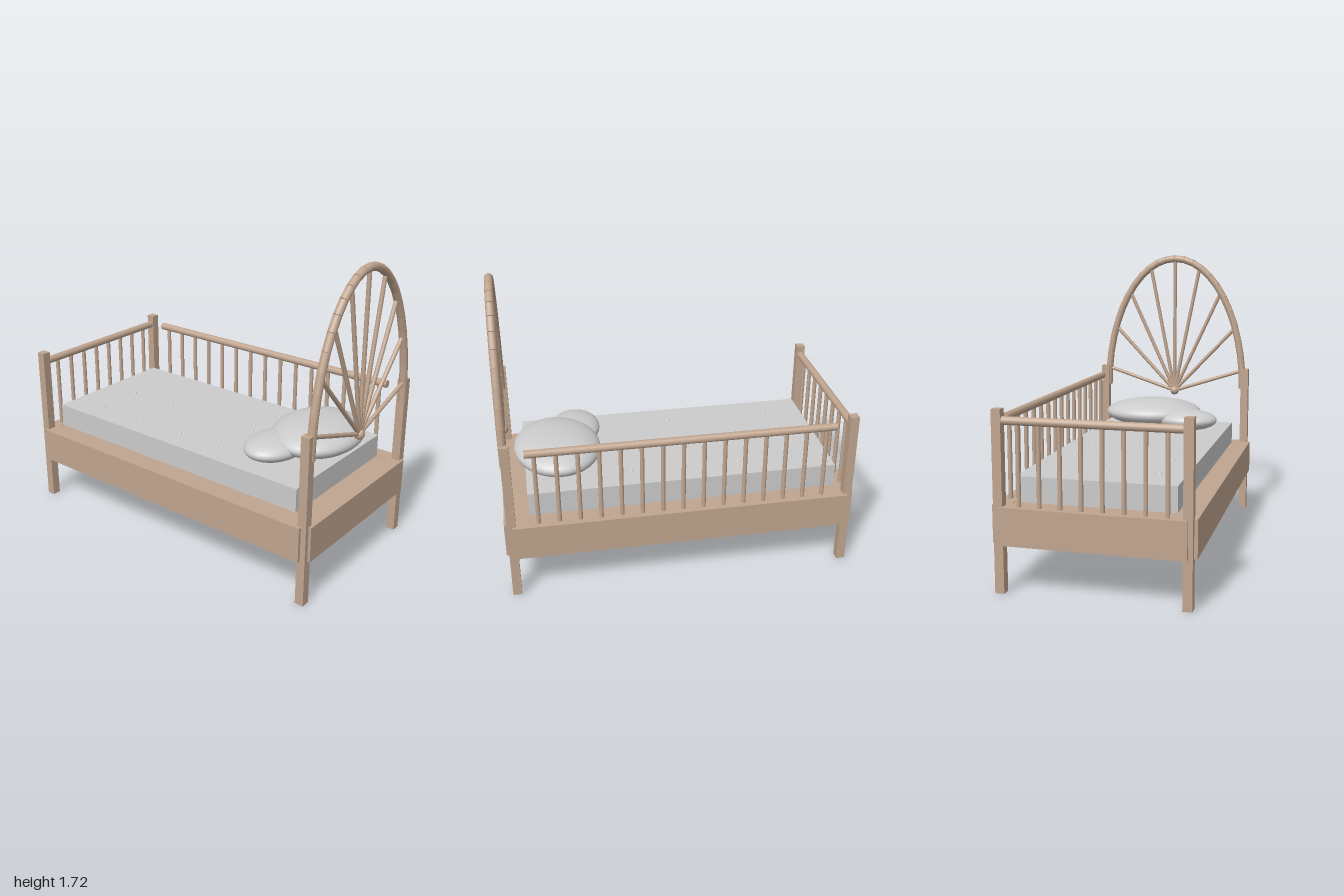
import * as THREE from 'three';

export function createModel() {
  const bed = new THREE.Group();
  bed.name = 'daybed';
  const wood = new THREE.MeshStandardMaterial({ color: 0xc0a58f });
  const fabric = new THREE.MeshStandardMaterial({ color: 0xcccccc });

  const add = (name, geometry, material, x, y, z, parent = bed) => {
    const mesh = new THREE.Mesh(geometry, material);
    mesh.name = name;
    mesh.position.set(x, y, z);
    parent.add(mesh);
    return mesh;
  };
  const box = (name, w, h, d, x, y, z, material = wood) =>
    add(name, new THREE.BoxGeometry(w, h, d), material, x, y, z);
  const group = (name) => {
    const g = new THREE.Group();
    g.name = name;
    bed.add(g);
    return g;
  };
  // Round bar running from point a to point b
  const UP = new THREE.Vector3(0, 1, 0);
  const bar = (name, a, b, radius, parent) => {
    const dir = b.clone().sub(a);
    const mesh = add(name, new THREE.CylinderGeometry(radius, radius, dir.length(), 16), wood, 0, 0, 0, parent);
    mesh.position.copy(a).add(b).multiplyScalar(0.5);
    mesh.quaternion.setFromUnitVectors(UP, dir.normalize());
  };
  const V = (x, y, z) => new THREE.Vector3(x, y, z);

  // Frame: four posts, side and end rails, base panel
  for (const s of [-1, 1]) {
    for (const t of [-1, 1]) box('post', 0.05, 0.96, 0.05, s * 0.96, 0.48, t * 0.49);
    box('sideRail', 1.91, 0.2, 0.09, 0, 0.36, s * 0.488);
    box('endRail', 0.09, 0.2, 0.98, s * 0.955, 0.36, 0);
  }
  box('basePanel', 1.84, 0.025, 0.9, 0, 0.445, 0);

  // Back guard
  const back = group('backGuard');
  bar('guardRail', V(-0.865, 0.9, -0.49), V(0.86, 0.9, -0.49), 0.022, back);
  for (let i = -7; i <= 7; i++) {
    const x = i * 0.1157;
    bar('guardSpindle', V(x, 0.45, -0.49), V(x, 0.9, -0.49), 0.012, back);
  }

  // Footboard
  const foot = group('footboard');
  bar('footRail', V(-0.96, 0.9, -0.47), V(-0.96, 0.9, 0.47), 0.022, foot);
  for (let i = 0; i < 8; i++) {
    const z = (i - 3.5) * 0.11;
    bar('footSpindle', V(-0.96, 0.45, z), V(-0.96, 0.9, z), 0.012, foot);
  }

  // Headboard: segmented arch with spokes fanning out of a hub
  const head = group('headboard');
  const headX = 0.968;
  const archPoint = (a) => V(headX, 0.825 + 0.875 * Math.sin(a), 0.472 * Math.cos(a));
  const segments = 24;
  for (let i = 0; i < segments; i++) {
    bar('archSegment', archPoint((i / segments) * Math.PI), archPoint(((i + 1) / segments) * Math.PI), 0.023, head);
  }
  const hub = V(headX, 0.795, 0);
  add('hub', new THREE.SphereGeometry(0.03, 20, 14), wood, hub.x, hub.y, hub.z, head);
  for (const deg of [8, 28, 48, 69, 90, 111, 132, 152, 172]) {
    bar('spoke', hub, archPoint(THREE.MathUtils.degToRad(deg)), 0.012, head);
  }

  // Mattress with tufting buttons
  box('mattress', 1.765, 0.135, 0.845, -0.0225, 0.5375, 0, fabric);
  const button = new THREE.SphereGeometry(0.012, 12, 8);
  for (let i = 0; i < 5; i++) {
    for (const z of [-0.28, 0, 0.28]) add('mattressButton', button, fabric, -0.675 + i * 0.313, 0.602, z);
  }

  // Pillows
  const pillow = (name, x, y, z, rx, ry, rz, turn) => {
    const mesh = add(name, new THREE.SphereGeometry(1, 40, 24), fabric, x, y, z);
    mesh.scale.set(rx, ry, rz);
    mesh.rotation.y = turn;
  };
  pillow('largePillow', 0.668, 0.695, -0.075, 0.248, 0.09, 0.313, 0.1);
  pillow('smallPillow', 0.55, 0.67, 0.17, 0.153, 0.066, 0.2, -0.12);

  return bed;
}
